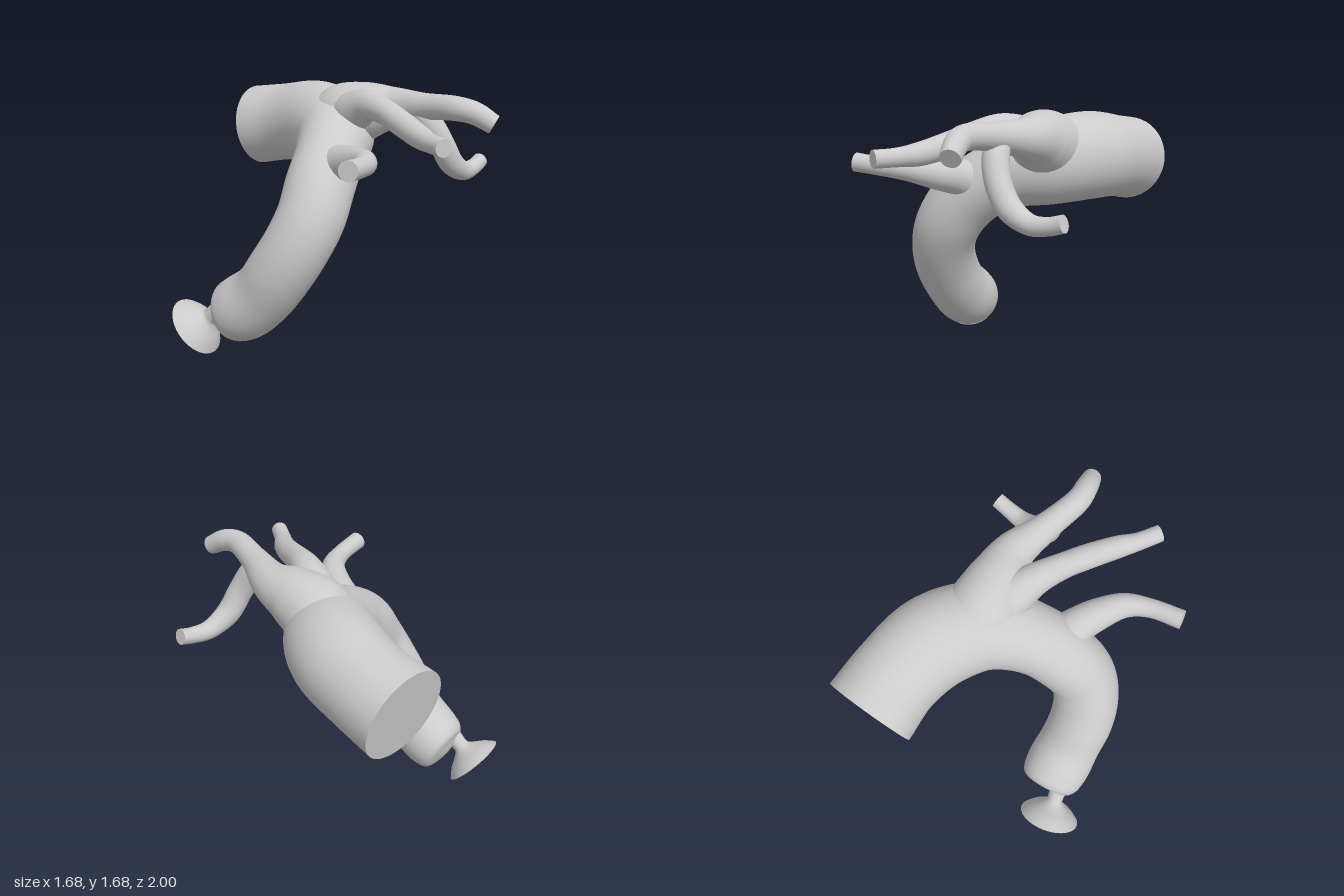
import * as THREE from 'three';

const material = new THREE.MeshStandardMaterial({ color: 0xcccccc });

// Sweeps a round section along [x, y, z, radius] stations, with flat end caps.
function vessel(name, stations, segs, sides) {
  const path = new THREE.CatmullRomCurve3(stations.map(s => new THREE.Vector3(s[0], s[1], s[2])));
  const width = new THREE.CatmullRomCurve3(
    stations.map((s, i) => new THREE.Vector3(s[3], i, 0)), false, 'catmullrom');
  const pos = [], index = [];
  const normal = new THREE.Vector3(0.3, 1, 0.1);
  const binormal = new THREE.Vector3();
  for (let i = 0; i <= segs; i++) {
    const t = i / segs;
    const p = path.getPoint(t), r = width.getPoint(t).x, tangent = path.getTangent(t);
    normal.addScaledVector(tangent, -normal.dot(tangent)).normalize();
    binormal.crossVectors(tangent, normal);
    for (let j = 0; j < sides; j++) {
      const a = (j / sides) * Math.PI * 2;
      const v = p.clone().addScaledVector(normal, r * Math.cos(a)).addScaledVector(binormal, r * Math.sin(a));
      pos.push(v.x, v.y, v.z);
    }
  }
  for (let i = 0; i < segs; i++) {
    for (let j = 0; j < sides; j++) {
      const k = (j + 1) % sides;
      const a = i * sides + j, b = i * sides + k, c = a + sides, d = b + sides;
      index.push(a, b, c, b, d, c);
    }
  }
  // Caps use their own vertices so that the rim stays sharp
  for (const end of [0, 1]) {
    const ring = end * segs * sides, base = pos.length / 3;
    const p = path.getPoint(end);
    for (let j = 0; j < sides * 3; j++) pos.push(pos[ring * 3 + j]);
    pos.push(p.x, p.y, p.z);
    for (let j = 0; j < sides; j++) {
      const k = (j + 1) % sides;
      if (end) index.push(base + j, base + k, base + sides);
      else index.push(base + k, base + j, base + sides);
    }
  }
  const geo = new THREE.BufferGeometry();
  geo.setAttribute('position', new THREE.Float32BufferAttribute(pos, 3));
  geo.setIndex(index);
  geo.computeVertexNormals();
  const mesh = new THREE.Mesh(geo, material);
  mesh.name = name;
  return mesh;
}

export function createModel() {
  const group = new THREE.Group();
  group.name = 'branchingVessel';

  // Wide arch, running from the back cap forward, over and down to the bulb
  group.add(vessel('mainArch', [
    [0.41, 1.27, -0.95, 0.278], [0.43, 1.315, -0.7, 0.268], [0.395, 1.35, -0.4, 0.28],
    [0.26, 1.325, -0.15, 0.265], [0.02, 1.245, 0.01, 0.22], [-0.18, 1.1, 0.095, 0.215],
    [-0.305, 0.93, 0.125, 0.21], [-0.385, 0.77, 0.085, 0.207], [-0.435, 0.6, -0.005, 0.207],
    [-0.455, 0.43, -0.13, 0.205], [-0.475, 0.31, -0.27, 0.215], [-0.49, 0.255, -0.37, 0.2],
    [-0.5, 0.232, -0.42, 0.16], [-0.505, 0.222, -0.445, 0.04],
  ], 140, 48));

  // Trunk that leaves the arch and carries on as the middle branch
  group.add(vessel('trunkBranch', [
    [0.3, 1.37, -0.23, 0.2], [0.3, 1.445, -0.07, 0.215], [0.335, 1.495, 0.09, 0.18],
    [0.37, 1.525, 0.25, 0.128], [0.325, 1.56, 0.5, 0.085], [0.29, 1.58, 0.75, 0.073],
    [0.315, 1.56, 0.86, 0.068], [0.355, 1.5, 0.965, 0.058],
  ], 72, 32));

  // Branch splitting off the trunk, towards the front and the model's right
  group.add(vessel('forwardBranch', [
    [0.25, 1.42, -0.06, 0.15], [0.2, 1.51, 0.08, 0.13], [0.15, 1.56, 0.21, 0.095],
    [0.09, 1.545, 0.38, 0.077], [0.035, 1.505, 0.53, 0.075], [-0.05, 1.46, 0.72, 0.068],
    [-0.115, 1.45, 0.83, 0.055], [-0.18, 1.45, 0.96, 0.052],
  ], 64, 28));

  // Branch hanging from the trunk, curling to the model's left
  group.add(vessel('hangingBranch', [
    [0.32, 1.55, 0.42, 0.06], [0.335, 1.48, 0.52, 0.077], [0.39, 1.34, 0.59, 0.077],
    [0.48, 1.2, 0.615, 0.075], [0.62, 1.125, 0.625, 0.06], [0.74, 1.13, 0.625, 0.052],
    [0.83, 1.155, 0.62, 0.05],
  ], 56, 28));

  // Side branch from the front of the arch, flared at its root
  group.add(vessel('sideBranch', [
    [-0.11, 1.2, 0.12, 0.145], [-0.14, 1.25, 0.24, 0.115], [-0.2, 1.285, 0.38, 0.097],
    [-0.29, 1.32, 0.51, 0.075], [-0.42, 1.335, 0.59, 0.058], [-0.61, 1.355, 0.645, 0.058],
  ], 56, 28));

  // Thin open bowl on a short neck at the bulb, its mouth facing down and back
  const profile = [[0.06, -0.22], [0.052, -0.15], [0.058, -0.12], [0.095, -0.088], [0.15, -0.05], [0.2, 0]];
  const curve = new THREE.SplineCurve(profile.map(p => new THREE.Vector2(p[0], p[1])));
  const bowlMaterial = material.clone();
  bowlMaterial.side = THREE.DoubleSide;
  const bowl = new THREE.Mesh(new THREE.LatheGeometry(curve.getPoints(24), 40), bowlMaterial);
  bowl.name = 'endBowl';
  bowl.position.set(-0.643, 0.145, -0.562);
  bowl.quaternion.setFromUnitVectors(
    new THREE.Vector3(0, 1, 0), new THREE.Vector3(-0.25, -0.65, -0.72).normalize());
  group.add(bowl);

  return group;
}
